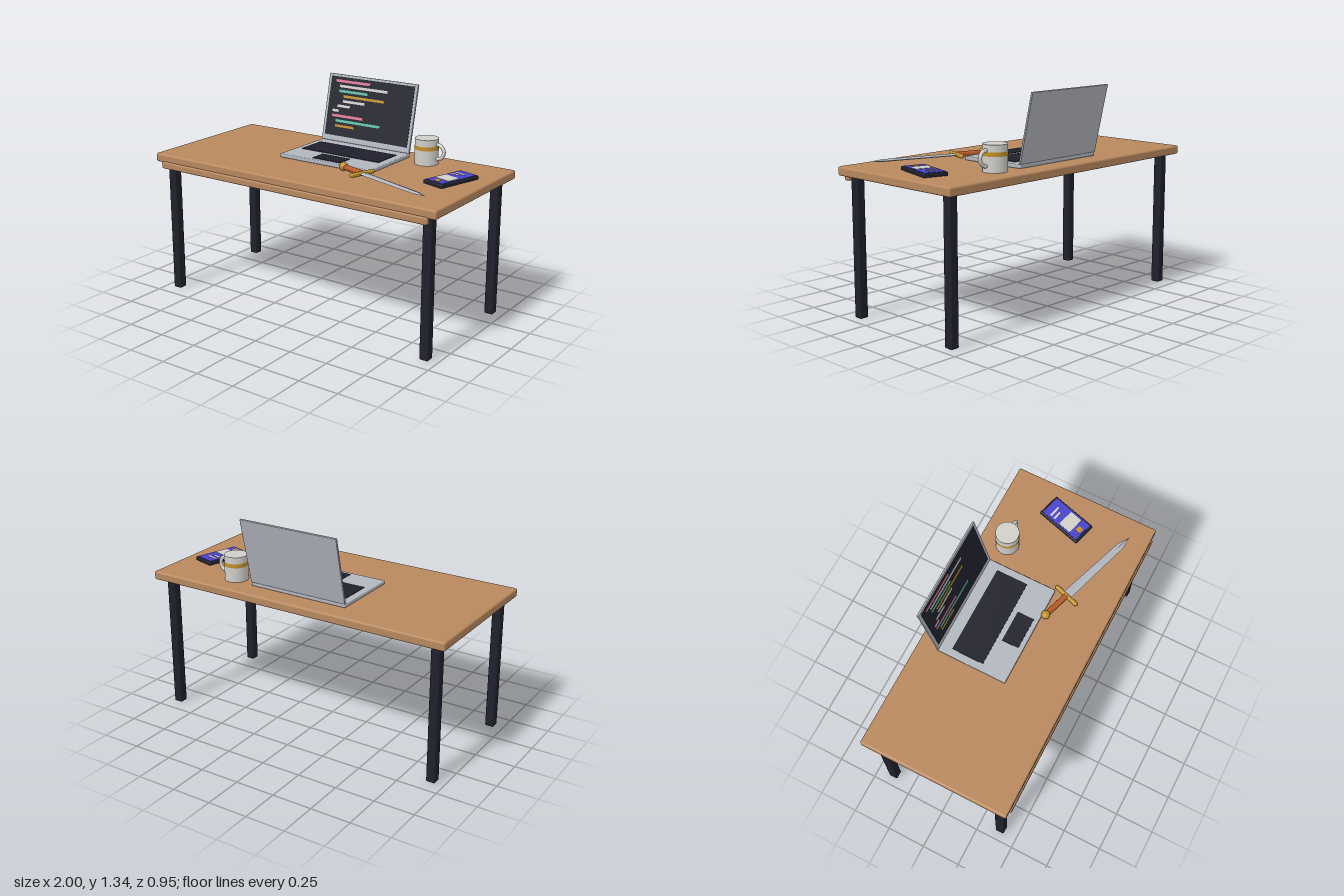
import * as THREE from 'three';
import { RoundedBoxGeometry } from 'three/addons/geometries/RoundedBoxGeometry.js';
import { ConvexGeometry } from 'three/addons/geometries/ConvexGeometry.js';

const mat = (name, color) => {
  const m = new THREE.MeshStandardMaterial({ color });
  m.name = name;
  return m;
};

export function createModel() {
  const wood = mat('wood', 0xb8885e);
  const dark = mat('charcoal', 0x20202c);
  const silver = mat('silver', 0xb2b6be);
  const ceramic = mat('ceramic', 0xd0cfca);
  const gold = mat('gold', 0xc0902a);
  const leather = mat('leather', 0xb85a28);
  const pink = mat('pink', 0xe07a98);
  const teal = mat('teal', 0x5cbfa8);
  const blue = mat('blue', 0x4a42cc);

  const add = (parent, name, geo, material, x = 0, y = 0, z = 0) => {
    const m = new THREE.Mesh(geo, material);
    m.name = name;
    m.position.set(x, y, z);
    parent.add(m);
    return m;
  };
  const group = (parent, name, x = 0, y = 0, z = 0) => {
    const g = new THREE.Group();
    g.name = name;
    g.position.set(x, y, z);
    parent.add(g);
    return g;
  };
  const box = (w, h, d) => new THREE.BoxGeometry(w, h, d);
  const rbox = (w, h, d, r) => new RoundedBoxGeometry(w, h, d, 3, r);

  const model = new THREE.Group();
  model.name = 'deskWithLaptop';

  // Desk: top, front rail and four legs
  const desk = group(model, 'desk');
  add(desk, 'tabletop', rbox(2, 0.054, 0.94, 0.012), wood, 0, 0.874, -0.004);
  add(desk, 'frontRail', rbox(1.9, 0.046, 0.034, 0.012), wood, 0, 0.833, 0.457);
  for (const x of [-0.919, 0.919])
    for (const z of [-0.391, 0.387])
      add(desk, 'leg', rbox(0.056, 0.846, 0.056, 0.008), dark, x, 0.423, z);

  // Laptop base with keyboard and trackpad
  const laptop = group(model, 'laptop', 0.02, 0.9, 0);
  add(laptop, 'laptopBase', rbox(0.655, 0.024, 0.45, 0.006), silver, 0, 0.013, -0.125);
  add(laptop, 'keyboard', box(0.567, 0.004, 0.203), dark, -0.002, 0.026, -0.168);
  add(laptop, 'trackpad', box(0.203, 0.004, 0.107), dark, -0.002, 0.026, 0.018);

  // Tilted lid with screen and lines of code
  const lid = group(laptop, 'lid', 0, 0.025, -0.345);
  lid.rotation.x = -0.225;
  add(lid, 'lidShell', rbox(0.655, 0.425, 0.014, 0.004), silver, 0, 0.2125, 0);
  add(lid, 'screen', box(0.615, 0.374, 0.004), dark, 0, 0.222, 0.007);
  const code = [ // start, length, colour
    [-0.269, 0.257, pink], [-0.237, 0.358, ceramic], [-0.237, 0.214, teal], [-0.2, 0.305, gold],
    [-0.2, 0.166, ceramic], [-0.237, 0.096, ceramic], [-0.269, 0.048, ceramic],
    [-0.269, 0.235, pink], [-0.237, 0.332, teal], [-0.237, 0.144, gold],
  ];
  code.forEach(([x, w, m], i) =>
    add(lid, 'codeLine', box(w, 0.016, 0.003), m, x + w / 2, 0.382 - i * 0.0315, 0.0095));

  // Mug with band and handle
  const mug = group(model, 'mug', 0.494, 0.9, -0.3);
  add(mug, 'cup', new THREE.CylinderGeometry(0.072, 0.072, 0.158, 32), ceramic, 0, 0.079, 0);
  add(mug, 'band', new THREE.CylinderGeometry(0.074, 0.074, 0.025, 32, 1, true), gold, 0, 0.105, 0);
  const handle = add(mug, 'handle', new THREE.TorusGeometry(0.044, 0.0115, 12, 24, Math.PI * 1.16), ceramic, 0.073, 0.082, 0);
  handle.rotation.z = -Math.PI * 0.58;

  // Phone with a simple interface
  const phone = group(model, 'phone', 0.8, 0.9, -0.053);
  phone.rotation.y = -0.28;
  add(phone, 'phoneBody', rbox(0.15, 0.024, 0.3, 0.008), dark, 0, 0.012, 0);
  add(phone, 'phoneScreen', box(0.128, 0.003, 0.272), blue, 0, 0.0245, 0);
  add(phone, 'phoneLine', box(0.075, 0.003, 0.014), ceramic, -0.012, 0.0265, -0.085);
  add(phone, 'phoneLine', box(0.055, 0.003, 0.014), ceramic, -0.022, 0.0265, -0.055);
  add(phone, 'phoneCard', box(0.11, 0.003, 0.085), ceramic, 0, 0.0265, 0.033);
  add(phone, 'phoneButton', box(0.036, 0.003, 0.034), gold, 0, 0.0265, 0.107);

  // Sword: local +x runs from the guard to the tip
  const sword = group(model, 'sword', 0.345, 0.925, 0.174);
  sword.rotation.y = -0.317;
  const points = [new THREE.Vector3(0.545, 0, 0)];
  for (const [x, w] of [[0, 0.029], [0.47, 0.022]])
    for (const s of [-1, 1])
      points.push(new THREE.Vector3(x, 0, s * w), new THREE.Vector3(x, s * 0.008, 0));
  add(sword, 'blade', new ConvexGeometry(points), silver);
  add(sword, 'guard', new THREE.CapsuleGeometry(0.0135, 0.15, 6, 16), gold).rotation.x = Math.PI / 2;
  add(sword, 'grip', new THREE.CylinderGeometry(0.017, 0.017, 0.17, 16), leather, -0.088).rotation.z = Math.PI / 2;
  add(sword, 'pommel', new THREE.SphereGeometry(0.027, 20, 14), gold, -0.175, 0.002, 0);

  return model;
}
